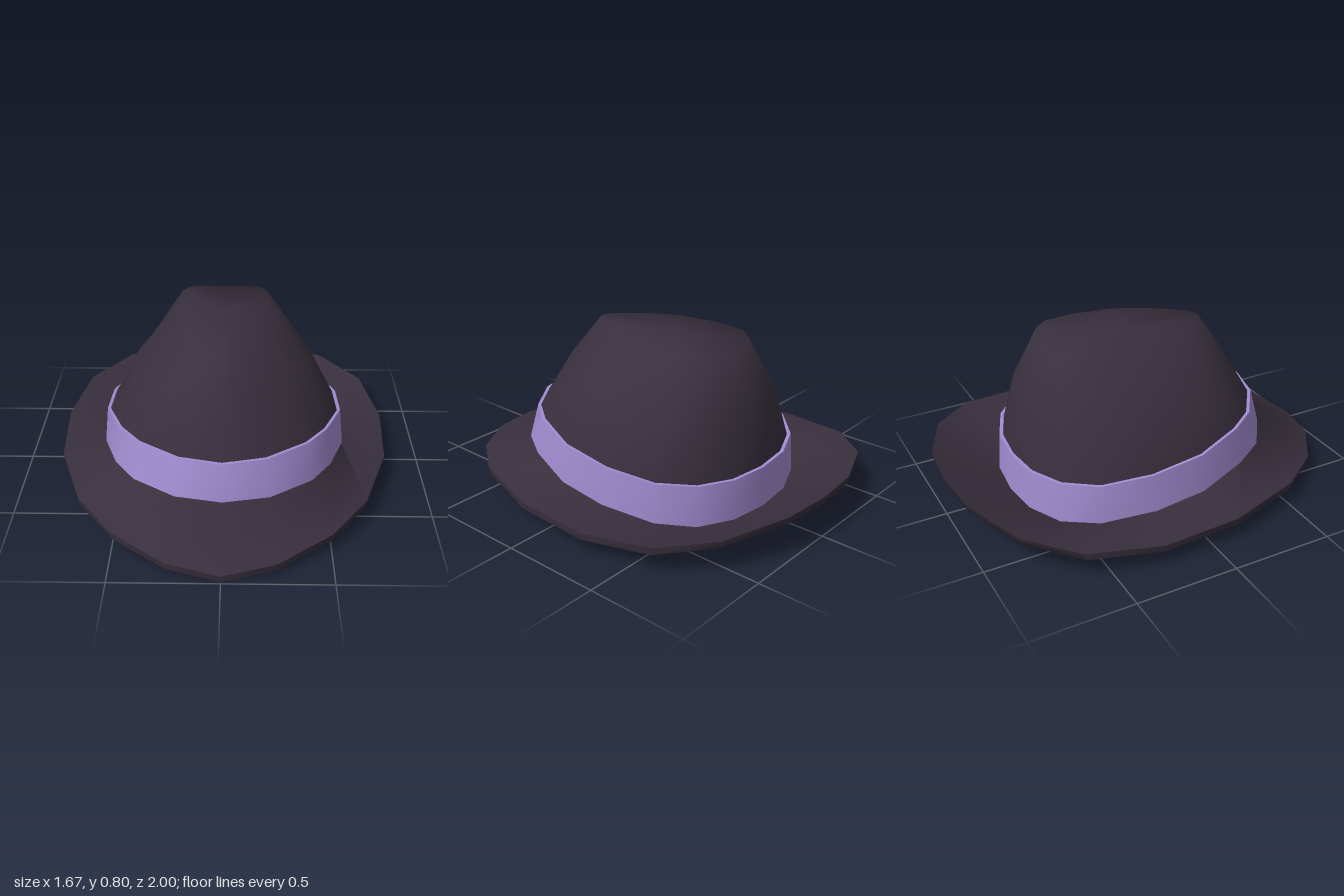
import * as THREE from 'three';
import { toCreasedNormals } from 'three/addons/utils/BufferGeometryUtils.js';

// Mirrors a half outline (back to front along +x) into a closed ring.
function ring(half) {
  const other = half.slice(1, -1).reverse().map(([x, y, z]) => [-x, y, z]);
  return [...half, ...other];
}

// Gives a flat [x, z] outline its height by a rule.
const lift = (outline, height) => outline.map(([x, z]) => [x, height(z), z]);

// Moves an outline in towards the middle and up or down.
const shift = (half, scale, dy) => half.map(([x, y, z]) => [x * scale, y + dy, z * scale]);

// Skins a series of rings.
function loft(halves, crease) {
  const rings = halves.map(ring);
  const n = rings[0].length;
  const index = [];
  for (let i = 0; i < rings.length - 1; i++) {
    for (let j = 0; j < n; j++) {
      const k = (j + 1) % n;
      const a = i * n + j, b = i * n + k, c = b + n, d = a + n;
      index.push(a, d, b, b, d, c);
    }
  }
  const geometry = new THREE.BufferGeometry();
  geometry.setAttribute('position', new THREE.Float32BufferAttribute(rings.flat(2), 3));
  geometry.setIndex(index);
  return toCreasedNormals(geometry, crease);
}

export function createModel() {
  const felt = new THREE.MeshStandardMaterial({ color: 0x382f3d });
  felt.name = 'dark felt';
  const ribbon = new THREE.MeshStandardMaterial({ color: 0xa18cd1 });
  ribbon.name = 'lilac ribbon';

  // Heights of the ribbon edges: high at the front, low at the back
  const lowEdge = z => z > 0.4 ? 0.2 : z > -0.25 ? 0.2 - 0.154 * (0.4 - z) : 0.1 - 0.15 * (-0.25 - z);
  const highEdge = z => 0.375 - 0.134 * Math.max(0, 0.35 - z);

  // Half outlines, back to front
  const bandBottom = lift([[0, -0.67], [0.2, -0.65], [0.38, -0.575], [0.51, -0.43], [0.59, -0.18],
    [0.6, 0.07], [0.52, 0.33], [0.42, 0.49], [0.22, 0.63], [0, 0.675]], lowEdge);
  const bandTop = lift([[0, -0.66], [0.195, -0.64], [0.37, -0.565], [0.505, -0.425], [0.578, -0.19],
    [0.58, 0.07], [0.495, 0.31], [0.395, 0.45], [0.205, 0.585], [0, 0.635]], highEdge);
  const rim = [[0, 0.205, -1], [0.25, 0.2, -0.975], [0.56, 0.17, -0.845], [0.76, 0.14, -0.625],
    [0.835, 0.11, -0.27], [0.81, 0.105, 0.13], [0.68, 0.105, 0.52], [0.5, 0.085, 0.76],
    [0.245, 0.055, 0.935], [0, 0.035, 0.995]];
  const middle = [[0, 0.5, -0.6], [0.16, 0.505, -0.57], [0.29, 0.51, -0.51], [0.39, 0.52, -0.4],
    [0.44, 0.53, -0.2], [0.425, 0.54, 0.03], [0.35, 0.555, 0.24], [0.26, 0.57, 0.36],
    [0.13, 0.58, 0.465], [0, 0.585, 0.5]];
  const shoulder = [[0, 0.765, -0.485], [0.1, 0.775, -0.465], [0.17, 0.788, -0.425], [0.215, 0.795, -0.36],
    [0.22, 0.797, -0.2], [0.19, 0.795, 0], [0.14, 0.785, 0.16], [0.09, 0.775, 0.27],
    [0.045, 0.768, 0.345], [0, 0.765, 0.375]];
  const peak = shoulder.map(() => [0, 0.79, -0.12]);

  const hat = new THREE.Group();
  hat.name = 'hat';

  // Crown and brim as one hollow shell, from the lining out over the rim to the top
  const shell = new THREE.Mesh(loft([
    shift(peak, 1, -0.03),
    shift(shoulder, 0.94, -0.03),
    shift(middle, 0.95, -0.01),
    shift(bandBottom, 0.96, -0.033),
    shift(rim, 0.995, -0.035),
    rim,
    shift(bandBottom, 0.99, 0),
    shift(bandTop, 0.97, 0),
    middle,
    shoulder,
    peak,
  ], 1.15), felt);
  shell.name = 'crownAndBrim';
  hat.add(shell);

  // Ribbon round the foot of the crown, with a narrow top edge
  const band = new THREE.Mesh(loft([
    shift(bandBottom, 1, -0.005),
    bandTop,
    shift(bandTop, 0.975, 0),
    shift(bandTop, 0.965, -0.03),
  ], 0.7), ribbon);
  band.name = 'hatBand';
  hat.add(band);

  return hat;
}
